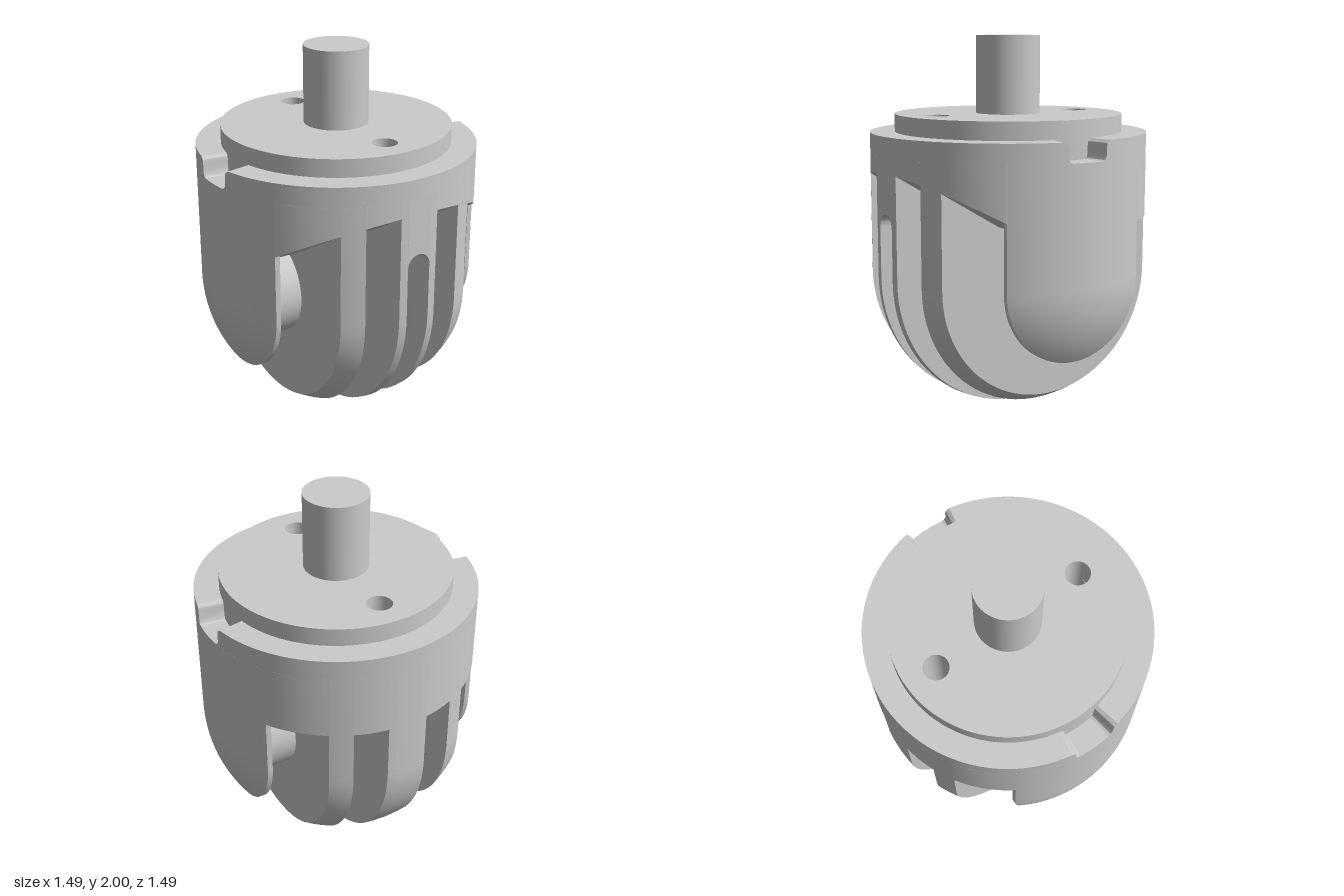
import * as THREE from 'three';
import { toCreasedNormals } from 'three/addons/utils/BufferGeometryUtils.js';
import { ParametricGeometry } from 'three/addons/geometries/ParametricGeometry.js';

const R = 0.745, C = 0.745;      // capsule radius and centre height of its round end
const T = 1.385, TOP = 1.49;     // foot of the notched collar, shoulder height
const G = 0.067;                 // half width of the channel and radius of the bores
const HOLE = 0.437;              // distance of the bores from the middle
const FLOOR = 0.55;              // radius of the channel floor
const radiusAt = x => Math.sqrt(Math.max(R * R - x * x, 0.00002));
const range = (a, b, n) => Array.from({ length: n + 1 }, (_, i) => a + (b - a) * i / n);
const mirrored = xs => xs.map(x => -x).reverse();

// Solid through matching cross-sections: (y, z) outlines along x, or (z, x) outlines along y
function loft(stations, outline, axis = 'x') {
  const rings = stations.map(s => outline(s).map(p => new THREE.Vector2(p[0], p[1])));
  if (THREE.ShapeUtils.isClockWise(rings[0])) rings.forEach(r => r.reverse());
  const n = rings[0].length, pos = [], index = [];
  rings.forEach((ring, k) => ring.forEach(p => {
    if (axis === 'x') pos.push(stations[k], p.x, p.y);
    else pos.push(p.y, stations[k], p.x);
  }));
  for (let k = 0; k < rings.length - 1; k++) {
    for (let i = 0; i < n; i++) {
      const j = (i + 1) % n, a = k * n + i, b = k * n + j;
      index.push(a, b, b + n, a, b + n, a + n);
    }
  }
  const last = (rings.length - 1) * n;
  for (const [a, b, c] of THREE.ShapeUtils.triangulateShape(rings[0], [])) index.push(a, c, b);
  for (const [a, b, c] of THREE.ShapeUtils.triangulateShape(rings.at(-1), [])) {
    index.push(last + a, last + b, last + c);
  }
  const g = new THREE.BufferGeometry();
  g.setAttribute('position', new THREE.Float32BufferAttribute(pos, 3));
  g.setIndex(index);
  return toCreasedNormals(g, 0.5);
}

// Arc of radius r around the round end, from the front (z = r) under to the back
const arc = (r, t0, t1, n = 48) =>
  range(t0, t1, n).map(t => [C - r * Math.sin(t), r * Math.cos(t)]);
const stadium = r => [[T, r], ...arc(r, 0, Math.PI), [T, -r]];

export function createModel() {
  const model = new THREE.Group();
  const grey = new THREE.MeshStandardMaterial({ color: 0xcccccc });
  const thin = new THREE.MeshStandardMaterial({ color: 0xcccccc, side: THREE.DoubleSide });
  const add = (name, geometry, material = grey) => {
    const mesh = new THREE.Mesh(geometry, material);
    mesh.name = name;
    model.add(mesh);
    return mesh;
  };
  const addPair = (name, xs, outline) => {
    add(name + 'Left', loft(xs, outline));
    add(name + 'Right', loft(mirrored(xs), outline));
  };

  // Ribs, and the two walls of the middle rib
  const rib = x => stadium(radiusAt(x));
  addPair('rib', range(0.285, 0.395, 4), rib);
  addPair('middleRibWall', range(G, 0.11, 2), rib);

  // Rounded side plates
  const plateStations = [0.6, ...range(Math.asin(0.628 / R), Math.PI / 2, 14).map(a => R * Math.sin(a))];
  addPair('sidePlate', plateStations, x => stadium(Math.min(0.4, radiusAt(x))));

  // Body above the slots: flat roof behind, rising roof in front
  const roof = x => {
    const r = radiusAt(x);
    return [[T, r], [T, -r], [1.04, -r], [1.04, 0.3], [1.1 + 0.587 * (r - 0.4), r]];
  };
  addPair('innerSlotRoof', range(0.11, 0.285, 5), roof);
  addPair('outerSlotRoof', range(0.395, 0.628, 10), roof);

  // Filling of the middle rib, leaving the channel and both bores open
  const middle = [-G, 0, G], front = HOLE - G, back = HOLE + G;
  add('middleRibCore', loft(middle, () => [
    [T, front], ...arc(FLOOR, Math.acos(front / FLOOR), Math.acos(-0.46 / FLOOR)),
    [1.1, -0.46], [1.1, -front], [T, -front]]));
  add('middleRibFront', loft(middle, () => [
    [T, back], [T, FLOOR], ...arc(FLOOR, 0, Math.acos(back / FLOOR), 8)]));
  add('middleRibBack', loft(middle, x => {
    const r = radiusAt(x);
    return [[T, -back], ...arc(r, Math.acos(-back / r), Math.PI, 20), [T, -r]];
  }));

  // Rounded upper end of the channel
  const arch = new THREE.Shape();
  arch.moveTo(G, 1.02);
  arch.lineTo(G, T);
  arch.lineTo(-G, T);
  arch.lineTo(-G, 1.02);
  arch.absarc(0, 1.02, G, Math.PI, 0, true);
  const archGeometry = new THREE.ExtrudeGeometry(arch, { depth: 0.242, bevelEnabled: false, curveSegments: 16 });
  add('channelEnd', toCreasedNormals(archGeometry.translate(0, 0, 0.5), 0.5));

  // Hollow round floor of the channel
  const floor = (t0, t1, n) => new ParametricGeometry((u, v, p) => {
    const t = t0 + (t1 - t0) * u, a = Math.PI * v;
    const r = FLOOR + G - G * Math.sin(a), s = Math.max(t, 0);
    p.set(G * Math.cos(a), C - r * Math.sin(s) - Math.min(t, 0), r * Math.cos(s));
  }, n, 12);
  add('channelFloorUpper', floor(-0.34, 0, 1), thin);
  add('channelFloorFront', floor(0, Math.acos(back / FLOOR), 10), thin);
  add('channelFloorUnder', floor(Math.acos(front / FLOOR), Math.acos(-0.46 / FLOOR), 32), thin);

  // Bore linings
  const lining = (y0, y1, z, start, length) =>
    new THREE.CylinderGeometry(G, G, y1 - y0, 24, 1, true, start, length).translate(0, (y0 + y1) / 2, z);
  add('frontBore', lining(0.56, 1.58, HOLE, 0, Math.PI * 2), thin);
  add('backBoreUpper', lining(1.1, 1.58, -HOLE, 0, Math.PI * 2), thin);
  add('backBoreLower', lining(0.2, 1.1, -HOLE, Math.PI / 2, Math.PI), thin);

  // Collar in two halves, with a filleted notch on each side
  const notch = [[T, 0.09], [1.391, 0.105], [1.41, 0.115], [1.455, 0.115], [1.475, 0.12], [TOP, 0.14]];
  const widths = new Map(notch);
  const half = loft(notch.map(n => n[0]), y => {
    const a = Math.asin(widths.get(y) / R), angles = range(a, Math.PI - a, 48);
    const ring = (r, list) => list.map(t => [r * Math.sin(t), r * Math.cos(t)]);
    return [...ring(R, angles), ...ring(0.6, angles.slice().reverse())];
  }, 'y');
  add('collarFront', half);
  add('collarBack', half).rotation.y = Math.PI;

  // Raised disc with the two bores
  const disc = new THREE.Shape().absarc(0, 0, 0.612, 0, Math.PI * 2);
  for (const s of [-1, 1]) {
    disc.holes.push(new THREE.Path().absarc(0, s * HOLE, G, 0, Math.PI * 2, true));
  }
  const discGeometry = new THREE.ExtrudeGeometry(disc, { depth: 1.585 - T, bevelEnabled: false, curveSegments: 48 });
  add('topDisc', toCreasedNormals(discGeometry.rotateX(-Math.PI / 2).translate(0, T, 0), 0.5));

  // Shaft on top, axle across the slots, and the bar under it
  add('shaft', new THREE.CylinderGeometry(0.172, 0.172, 0.43, 48).translate(0, 1.785, 0));
  add('axle', new THREE.CylinderGeometry(0.265, 0.265, 1.22, 48).rotateZ(Math.PI / 2).translate(0, C, 0));
  add('axleBar', loft([-0.3, 0.3], () => [
    [0.53, 0.16], [0.44, 0.16], [0.4, 0.12], [0.4, -0.12], [0.44, -0.16], [0.53, -0.16]]));

  return model;
}
